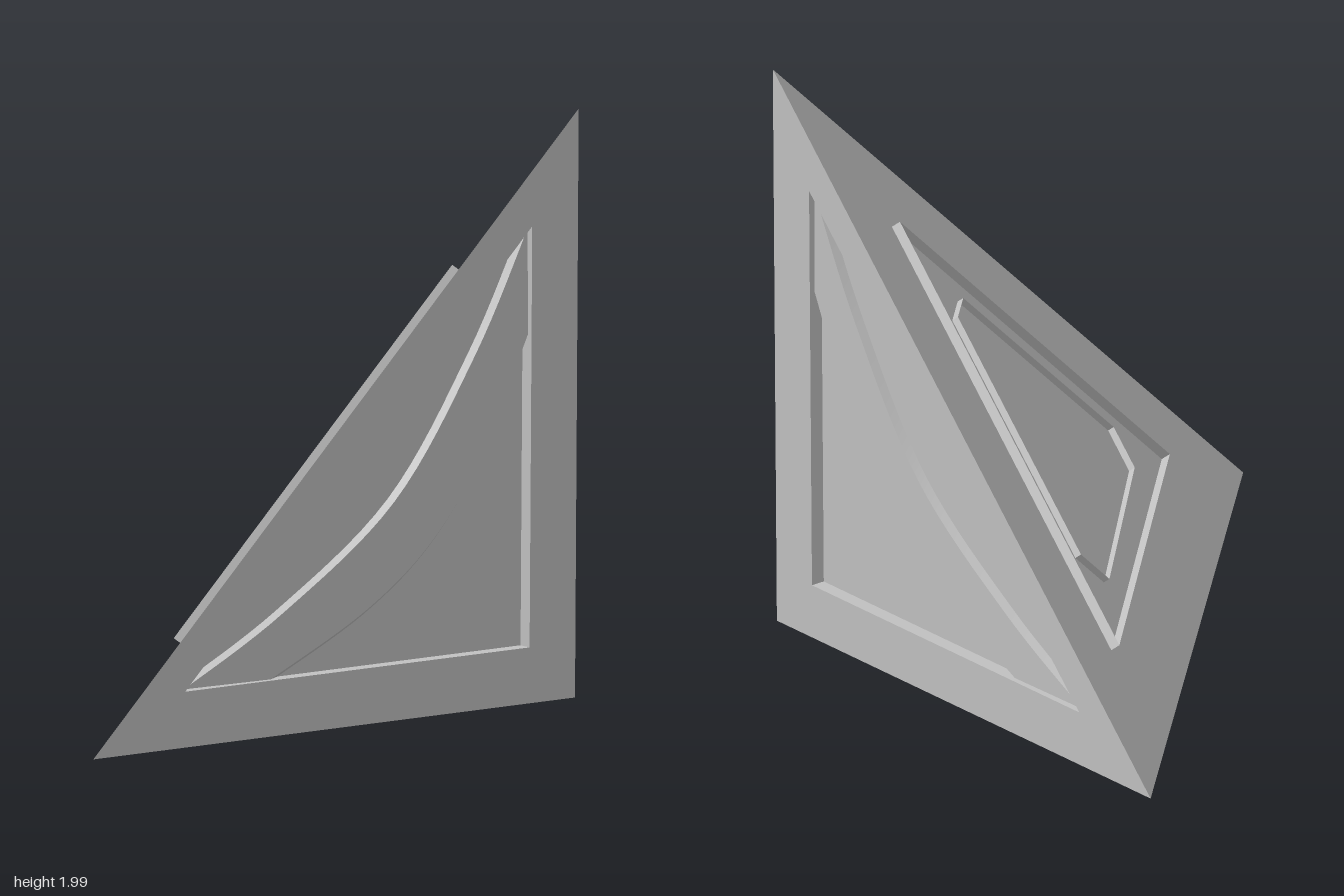
import * as THREE from 'three';

const grey = new THREE.MeshStandardMaterial({ color: 0xc0c0c0, side: THREE.DoubleSide });
grey.name = 'plain grey';

// Corners of the corner-cut pyramid
const A = new THREE.Vector3(-1, 0, 0.98);
const B = new THREE.Vector3(0.98, 1.99, 1);
const C = new THREE.Vector3(0.99, 0.045, -1);
const D = new THREE.Vector3(0.987, 0.015, 0.97);

const v2 = ([x, y]) => new THREE.Vector2(x, y);
const at = (points, z) => points.map((p) => new THREE.Vector3(p.x, p.y, z));
const shift = (points, d) => points.map((p) => new THREE.Vector2(p.x + d, p.y + d));

// Flat region at one height, with an optional hole
function plate(outline, z, hole) {
  const shape = new THREE.Shape(outline);
  if (hole) shape.holes.push(new THREE.Path(hole));
  return new THREE.ShapeGeometry(shape).translate(0, 0, z);
}

// Surface between two rows of points
function strip(rowA, rowB) {
  const index = [];
  for (let i = 0; i < rowA.length - 1; i++) {
    const j = i + rowA.length;
    index.push(i, j, i + 1, i + 1, j, j + 1);
  }
  const geometry = new THREE.BufferGeometry().setFromPoints([...rowA, ...rowB]);
  geometry.setIndex(index);
  return geometry;
}

// Sharp-cornered wall around a closed outline
function wall(outline, top, bottom) {
  const loop = [...outline, outline[0]];
  return strip(at(loop, top), at(loop, bottom)).toNonIndexed();
}

// Places pieces on the face with origin o and edges towards p and q
function faceGroup(name, o, p, q) {
  const u = p.clone().sub(o);
  const v = q.clone().sub(o);
  const n = u.clone().cross(v).normalize();
  const matrix = new THREE.Matrix4().makeBasis(u, v, n).setPosition(o);
  const group = new THREE.Group();
  group.name = name;
  const add = (part, geometry) => {
    geometry.applyMatrix4(matrix);
    geometry.deleteAttribute('normal');
    geometry.computeVertexNormals();
    const mesh = new THREE.Mesh(geometry, grey);
    mesh.name = part;
    group.add(mesh);
  };
  return { group, add };
}

const faceOutline = [[0, 0], [1, 0], [0, 1]].map(v2);
const curve = (points) => new THREE.SplineCurve(points.map(v2)).getPoints(32);

// Square face: recessed triangle crossed by a raised curved band
function recessedFace(name, p, q) {
  const { group, add } = faceGroup(name, D, p, q);
  const deep = -0.05, high = -0.02;
  const panel = [[0.095, 0.095], [0.81, 0.095], [0.095, 0.81]].map(v2);
  const outer = curve([[0.097, 0.805], [0.205, 0.6], [0.37, 0.37], [0.6, 0.205], [0.805, 0.097]]);
  const inner = curve([[0.095, 0.625], [0.19, 0.43], [0.293, 0.293], [0.43, 0.19], [0.625, 0.095]]);
  add('frame', plate(faceOutline, 0, panel));
  add('recessWall', wall(panel, 0, deep));
  add('recessFloor', plate(panel, deep));
  add('curvedBand', strip(at(inner, high), at(outer, high)));
  add('bandInnerSide', strip(at(shift(inner, -0.008), deep), at(inner, high)));
  add('bandOuterSide', strip(at(outer, high), at(shift(outer, 0.003), deep)));
  return group;
}

// Sloping face: flat, with two thin upright rims
function slopingFace() {
  const { group, add } = faceGroup('slopingFace', A, B, C);
  const plan = ([x, z]) => {
    const b = (0.98 - z) / 1.98;
    return new THREE.Vector2((x + 1) / 1.985 - b, b);
  };
  const triangle = [[0.70, -0.44], [0.70, 0.71], [-0.435, 0.705]].map(plan);
  const cutTriangle = [[0.49, -0.14], [0.61, -0.14], [0.61, 0.505], [0.495, 0.62],
    [-0.14, 0.62], [-0.14, 0.51]].map(plan);
  add('plate', plate(faceOutline, 0));
  add('triangleRim', wall(triangle, 0.033, 0));
  add('cutTriangleRim', wall(cutTriangle, 0.023, 0));
  return group;
}

export function createModel() {
  const model = new THREE.Group();
  model.name = 'cornerPyramid';
  model.add(
    recessedFace('frontFace', B, A),
    recessedFace('sideFace', C, B),
    recessedFace('bottomFace', A, C),
    slopingFace(),
  );
  return model;
}
